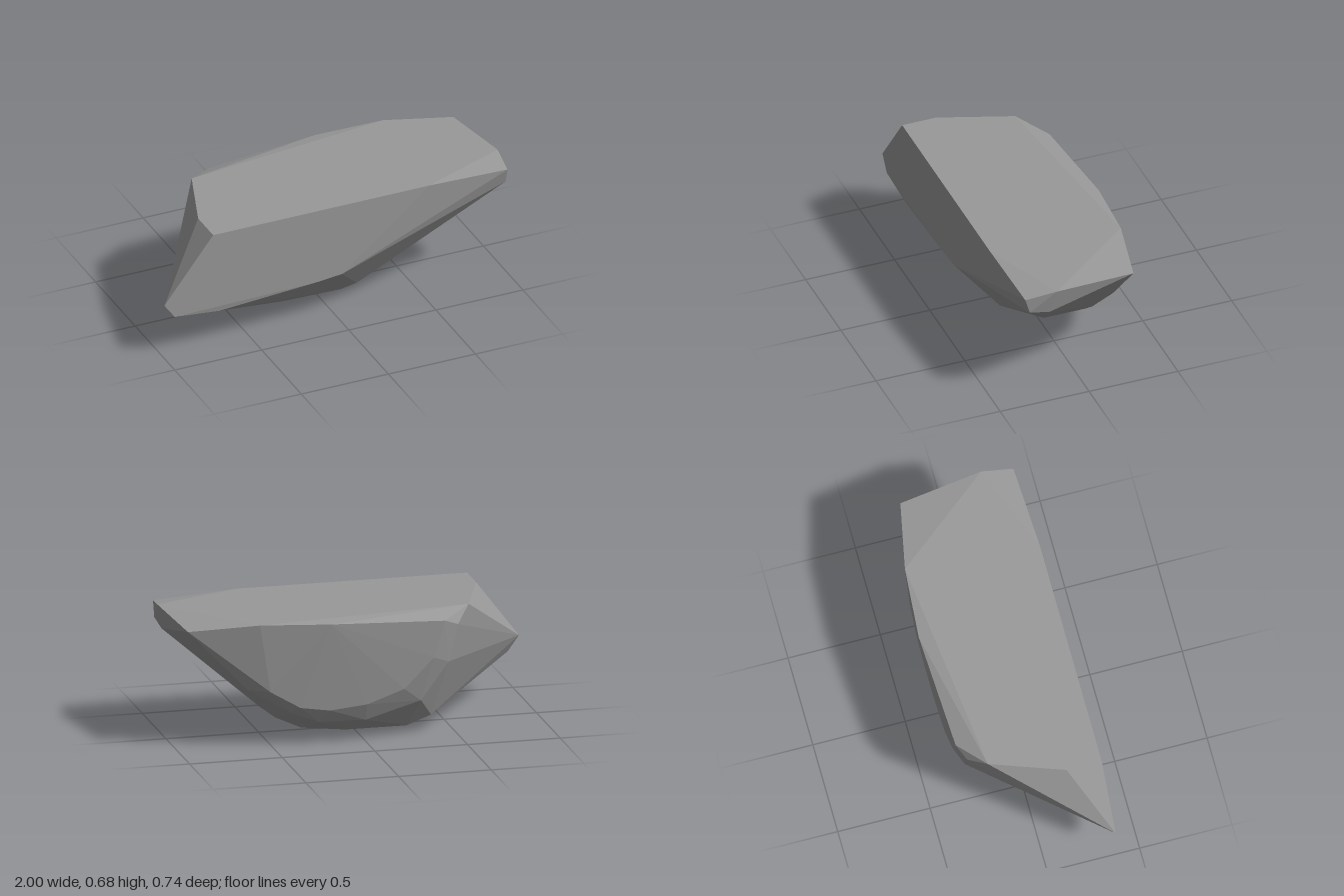
import * as THREE from 'three';
import { ConvexGeometry } from 'three/addons/geometries/ConvexGeometry.js';

// Faceted rock: a convex solid spanned by the corners of each region.
const topRim = [
  [-0.72, 0.68, 0.37], [-0.72, 0.68, 0.18], [-0.58, 0.68, -0.21],
  [0.58, 0.68, -0.345], [1, 0.68, 0.18], [0.52, 0.68, 0.37],
];
const rightEnd = [
  [0.98, 0.655, 0.35], [0.98, 0.57, 0.325], [0.97, 0.54, 0.21],
  [0.95, 0.65, -0.27], [0.63, 0.315, -0.28], [0.55, 0.2, -0.195],
];
const frontAndLeftTip = [
  [-1, 0.32, 0.37], [-0.94, 0.237, 0.37], [-0.68, 0.21, 0.365],
  [-0.13, 0.25, 0.37], [0.02, 0.265, 0.37],
];
const backFace = [
  [0.2, 0.667, -0.373], [-0.42, 0.635, -0.34], [-0.36, 0.44, -0.342],
  [-0.2, 0.28, -0.342], [0, 0.21, -0.341], [0.2, 0.19, -0.34],
  [0.36, 0.215, -0.34], [0.52, 0.31, -0.336],
];
const backBevel = [
  [-0.5, 0.6, -0.3], [-0.45, 0.4, -0.3], [-0.3, 0.2, -0.3],
  [0, 0.115, -0.3], [0.25, 0.12, -0.3], [0.4, 0.18, -0.3],
];
const underside = [
  [-0.2, 0, 0.085], [0.06, 0.003, 0.085], [0.1, 0.053, 0.18],
  [0.19, 0.07, 0.18], [0.32, 0.065, 0.05], [0.32, 0.065, -0.19],
  [0.46, 0.13, 0.04], [0.46, 0.13, -0.19], [-0.25, 0.04, -0.2],
  [0.08, 0.04, -0.2], [-0.38, 0.09, -0.2],
];

export function createModel() {
  const group = new THREE.Group();
  group.name = 'rock';
  const stone = new THREE.MeshStandardMaterial({ color: 0x999999 });
  stone.name = 'grey stone';

  const corners = [topRim, rightEnd, frontAndLeftTip, backFace, backBevel, underside]
    .flat().map((p) => new THREE.Vector3(...p));
  const body = new THREE.Mesh(new ConvexGeometry(corners), stone);
  body.name = 'rockBody';
  group.add(body);
  return group;
}
